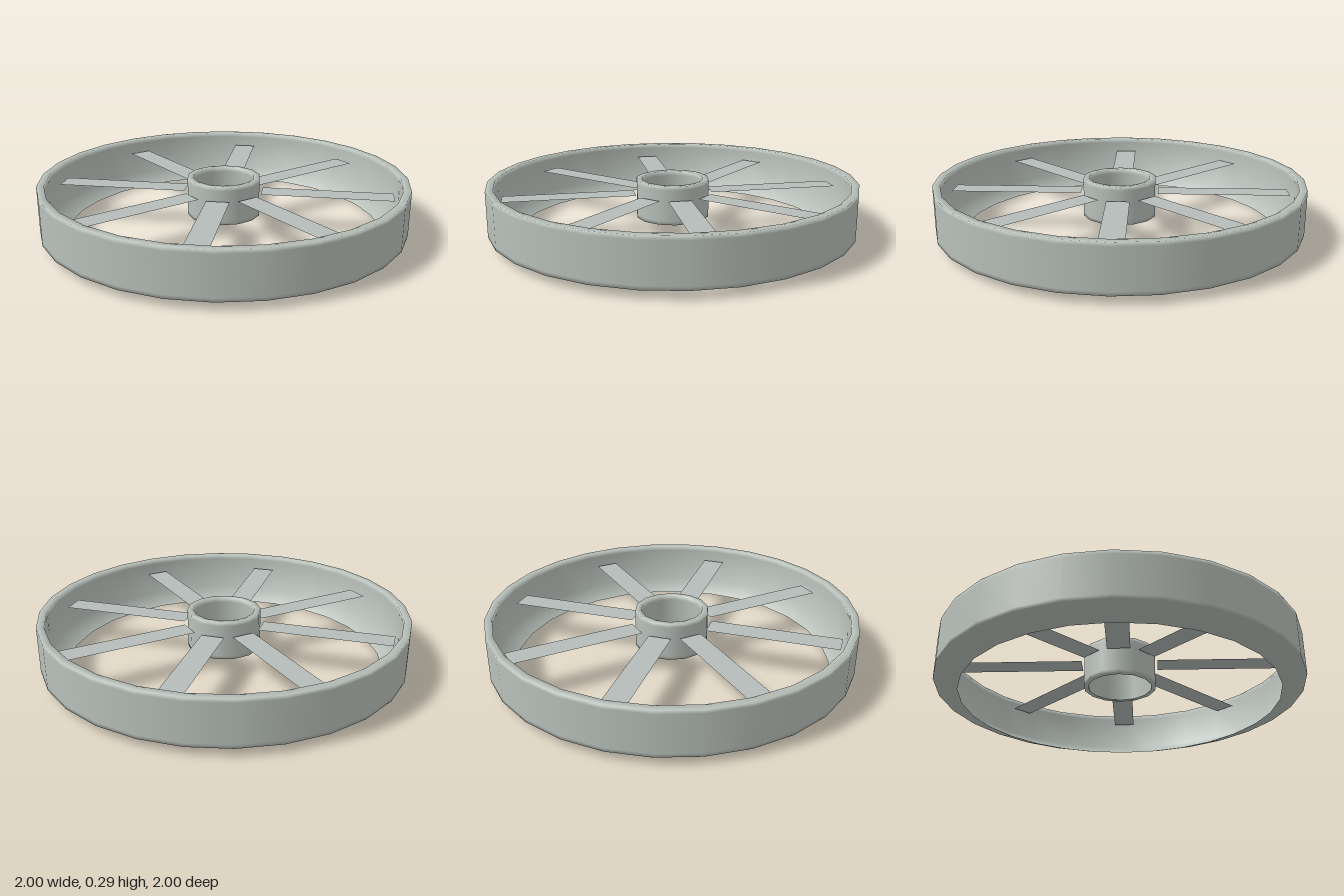
import * as THREE from 'three';

export function createModel() {
  const group = new THREE.Group();
  const rimMetal = new THREE.MeshStandardMaterial({ color: 0xb9c1bb });
  rimMetal.name = 'rim metal';
  const spokeMetal = new THREE.MeshStandardMaterial({ color: 0xb5bcb9, side: THREE.DoubleSide });
  spokeMetal.name = 'spoke metal';

  // Closed ring turned around the y axis; the profile runs up the outside and down the inside
  const ring = (name, profile, segments) => {
    const points = profile.map(([r, y]) => new THREE.Vector2(r, y));
    const mesh = new THREE.Mesh(new THREE.LatheGeometry(points, segments), rimMetal);
    mesh.name = name;
    group.add(mesh);
  };

  // Outer rim with a chamfered lower edge turned inwards
  ring('rim', [
    [0.87, 0], [1, 0.045], [1, 0.065], [1, 0.27], [1, 0.29],
    [0.96, 0.29], [0.96, 0.265], [0.955, 0.065], [0.87, 0],
  ], 28);

  // Hub sleeve
  ring('hub', [
    [0.175, 0.08], [0.2, 0.08], [0.2, 0.1], [0.2, 0.27], [0.2, 0.29],
    [0.168, 0.29], [0.168, 0.265], [0.175, 0.1], [0.175, 0.08],
  ], 14);

  // Eight flat spokes
  const spokeShape = new THREE.PlaneGeometry(0.71, 0.125)
    .rotateX(-Math.PI / 2)
    .translate(0.565, 0.215, 0);
  for (let i = 0; i < 8; i++) {
    const spoke = new THREE.Mesh(spokeShape, spokeMetal);
    spoke.name = `spoke${i + 1}`;
    spoke.rotation.y = (i * Math.PI) / 4;
    group.add(spoke);
  }
  return group;
}
